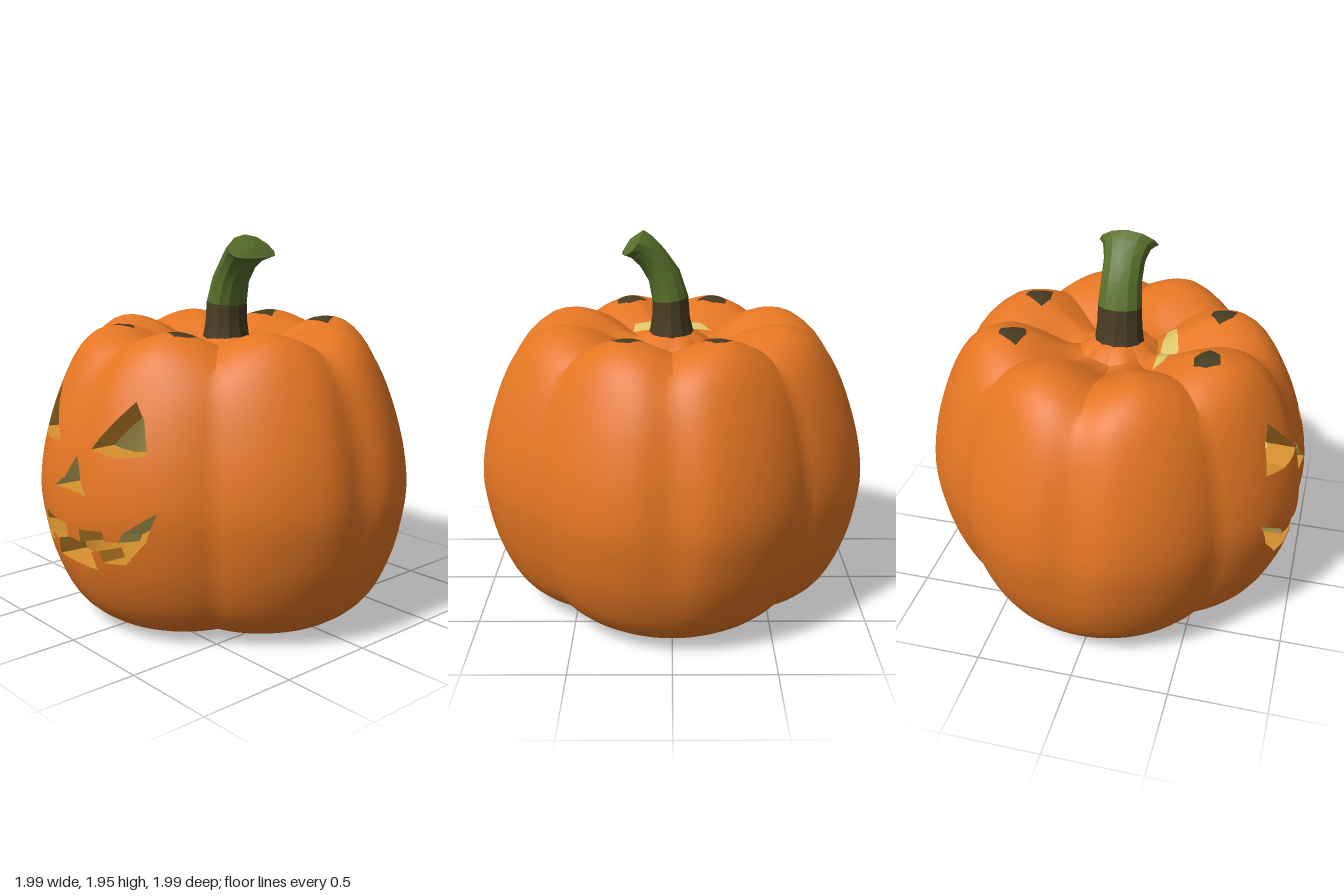
import * as THREE from 'three';
import { toCreasedNormals } from 'three/addons/utils/BufferGeometryUtils.js';

const { smoothstep, lerp } = THREE.MathUtils;
const mat = (name, color, side = THREE.FrontSide) => {
  const m = new THREE.MeshStandardMaterial({ color, side });
  m.name = name;
  return m;
};

// Body profile (radius, height), from the bottom dimple to the stem collar
const SEG = 128, ROWS = 52;
const profile = new THREE.CatmullRomCurve3([
  [0.002, 0.14], [0.12, 0.11], [0.3, 0.035], [0.48, 0.006], [0.66, 0.012], [0.82, 0.12], [0.93, 0.33],
  [0.985, 0.55], [1, 0.7], [0.98, 0.88], [0.93, 1.07], [0.86, 1.25], [0.77, 1.41], [0.68, 1.485],
  [0.56, 1.507], [0.42, 1.47], [0.3, 1.41], [0.2, 1.38], [0.14, 1.42], [0.1, 1.43],
].map(([r, y]) => new THREE.Vector3(r, y, 0))).getSpacedPoints(ROWS);

// Angle in degrees from the nearest shallow groove: 0 shallow, 45 deep
const grooveAngle = (a) => {
  const d = (((a * 180) / Math.PI) % 90 + 90) % 90;
  return Math.min(d, 90 - d);
};
const lobe = (a, y) => {
  const u = grooveAngle(a);
  return 1.018 - 0.045 * smoothstep(y, 0.1, 0.9) * Math.exp(-((u / 7) ** 2)) - 0.095 * (u / 45) ** 2;
};

function bodyPoint(row, a) {
  const { x: r, y } = profile[row];
  const u = grooveAngle(a), fade = smoothstep(r, 0.1, 0.3);
  const groove = y > 0.75 ? 0.09 * (Math.abs(u - 22.5) / 22.5) ** 1.5 : 0.035 * (u / 45) ** 2;
  const dip = 1 - groove * fade * smoothstep(Math.abs(y - 0.75), 0.45, 0.75);
  const k = r * lerp(1, lobe(a, y), fade);
  return [k * Math.sin(a), 0.75 + (y - 0.75) * dip, k * Math.cos(a)];
}

// Depth of the front skin at a given x and y
function frontZ(x, y) {
  const i = profile.findIndex((p, n) => n > 8 && p.y >= y);
  const a = profile[i - 1], b = profile[i];
  const r = a.x + ((b.x - a.x) * (y - a.y)) / (b.y - a.y);
  let z = r;
  for (let n = 0; n < 8; n++) z = Math.sqrt((r * lobe(Math.atan2(x, z), y)) ** 2 - x * x);
  return z;
}

// Grid geometry from a point function
function grid(i0, i1, seg, crease, point) {
  const pos = [], index = [], w = seg + 1;
  for (let i = i0; i <= i1; i++) for (let j = 0; j <= seg; j++) pos.push(...point(i, (j / seg) * Math.PI * 2));
  for (let i = 0; i < i1 - i0; i++) {
    for (let j = 0; j < seg; j++) {
      const a = i * w + j;
      index.push(a, a + 1, a + w + 1, a, a + w + 1, a + w);
    }
  }
  const g = new THREE.BufferGeometry();
  g.setAttribute('position', new THREE.Float32BufferAttribute(pos, 3));
  g.setIndex(index);
  return toCreasedNormals(g, crease);
}

// Split a polygon by a convex counter-clockwise outline, using vertex axes u and v
function split(poly, hole, u, v) {
  const outs = [];
  let inside = poly;
  for (let e = 0; e < hole.length && inside.length > 2; e++) {
    const p = hole[e], q = hole[(e + 1) % hole.length];
    const side = (t) => (q[0] - p[0]) * (t[v] - p[1]) - (q[1] - p[1]) * (t[u] - p[0]);
    const keep = [], out = [];
    inside.forEach((s, n) => {
      const t = inside[(n + 1) % inside.length], ds = side(s), dt = side(t);
      (ds >= 0 ? keep : out).push(s);
      if (ds >= 0 !== dt >= 0) {
        const m = s.map((c, k) => c + ((t[k] - c) * ds) / (ds - dt));
        keep.push(m);
        out.push(m);
      }
    });
    if (out.length > 2) outs.push(out);
    inside = keep;
  }
  return inside.length > 2 ? { outs, inside } : { outs: [poly], inside: null };
}

// Geometry from polygons whose vertices hold position and normal
function fromPolys(polys) {
  const pos = [], nor = [];
  for (const p of polys) {
    for (let n = 1; n < p.length - 1; n++) {
      for (const t of [p[0], p[n], p[n + 1]]) {
        pos.push(t[0], t[1], t[2]);
        nor.push(t[3], t[4], t[5]);
      }
    }
  }
  const g = new THREE.BufferGeometry();
  g.setAttribute('position', new THREE.Float32BufferAttribute(pos, 3));
  g.setAttribute('normal', new THREE.Float32BufferAttribute(nor, 3));
  return g;
}

const ccw = (h) => (THREE.ShapeUtils.area(h.map(([x, y]) => ({ x, y }))) < 0 ? [...h].reverse() : h);
const mirror = (h) => ccw(h.map(([x, y]) => [x === 0 ? 0 : -x, y]));
const both = (list) => list.flatMap((h) => [ccw(h), mirror(h)]);

// Carved face, as convex pieces
const features = [
  { name: 'eyeWalls', base: 0.97, pieces: both([[[0.13, 0.985], [0.29, 0.967], [0.42, 0.99], [0.37, 1.14], [0.31, 1.22]]]) },
  { name: 'noseWalls', base: 0.76, pieces: both([[[0, 0.76], [0.13, 0.765], [0.08, 0.81], [0, 0.84]], [[0, 0.84], [0.08, 0.81], [0.04, 0.87], [0, 0.95]]]) },
  { name: 'mouthWalls', base: 0.39, pieces: both([
    [[0.49, 0.735], [0.34, 0.62], [0.32, 0.575], [0.33, 0.46], [0.44, 0.59]],
    [[0.32, 0.575], [0.245, 0.565], [0.21, 0.45], [0.33, 0.46]],
    [[0.235, 0.615], [0.2, 0.51], [0.21, 0.45], [0.245, 0.565]],
    [[0.235, 0.615], [0.055, 0.585], [0.055, 0.52], [0.14, 0.49], [0.2, 0.51]],
    [[0.055, 0.52], [0, 0.52], [0, 0.395], [0.16, 0.4], [0.14, 0.49]],
  ]) },
];

// Walls along the outline of a carved feature, split into upward and downward faces
function walls({ pieces, base }) {
  const edges = new Map();
  for (const h of pieces) h.forEach((p, n) => edges.set(`${p}|${h[(n + 1) % h.length]}`, [p, h[(n + 1) % h.length]]));
  const up = [], down = [];
  for (const [p, q] of edges.values()) {
    if (edges.has(`${q}|${p}`)) continue;
    const len = Math.hypot(q[0] - p[0], q[1] - p[1]);
    for (let n = 0; n < 4; n++) {
      const [o0, o1] = [n / 4, (n + 1) / 4].map((t) => {
        const x = p[0] + (q[0] - p[0]) * t, y = p[1] + (q[1] - p[1]) * t;
        return [x, y, frontZ(x, y)];
      });
      const [i0, i1] = [o0, o1].map(([x, y, z]) => [x * 0.91, base + (y - base) * 0.83, z - 0.14]);
      ((q[0] - p[0]) / len < -0.3 ? down : up).push(...o0, ...o1, ...i1, ...o0, ...i1, ...i0);
    }
  }
  return [up, down].map((pos) => {
    const g = new THREE.BufferGeometry();
    g.setAttribute('position', new THREE.Float32BufferAttribute(pos, 3));
    g.computeVertexNormals();
    return g;
  });
}

// Stem rings: centre x, y, tilt, half-width in the bend, half-width in z
const rings = [
  [0, 1.38, 0, 0.125, 0.135], [0.005, 1.5, 0, 0.098, 0.118], [0.008, 1.6, 0.12, 0.093, 0.114], [0.04, 1.72, 0.35, 0.084, 0.104],
  [0.1, 1.81, 0.6, 0.077, 0.106], [0.155, 1.865, 0.75, 0.078, 0.125], [0.2, 1.893, 0.8, 0.08, 0.155], [0.212, 1.905, 0.8, 0.001, 0.001],
];
function stemPoint(i, a) {
  const [x, y, tilt, w, d] = rings[i];
  const s = Math.sin(a) * w, droop = Math.max(0, d - 0.118) * 0.8 * Math.cos(a) ** 2;
  return [x + s * Math.cos(tilt), y - s * Math.sin(tilt) - droop, Math.cos(a) * d];
}

export function createModel() {
  const group = new THREE.Group();
  const orange = mat('orange skin', 0xe57623);
  const cream = mat('cream flesh', 0xdcc468, THREE.DoubleSide);
  const gold = mat('golden flesh', 0xd8922e, THREE.DoubleSide);
  const dark = mat('dark brown', 0x483c22);
  const green = mat('stem green', 0x58702a);
  const innerCream = mat('inner cream', 0xdcc468, THREE.BackSide);
  const innerGold = mat('inner gold', 0xd8922e, THREE.BackSide);
  const add = (name, geo, m) => {
    const mesh = new THREE.Mesh(geo, m);
    mesh.name = name;
    group.add(mesh);
  };

  // Ribbed skin, cut by the face and by the marks on top
  const body = grid(0, ROWS, SEG, 0.6, bodyPoint);
  const P = body.attributes.position.array, N = body.attributes.normal.array;
  let polys = [];
  for (let t = 0; t < P.length; t += 9) polys.push([0, 3, 6].map((k) => [...P.slice(t + k, t + k + 3), ...N.slice(t + k, t + k + 3)]));
  const carve = (hole, u, v, test, bin) => {
    polys = polys.flatMap((p) => {
      if (!test(p[0])) return [p];
      const { outs, inside } = split(p, hole, u, v);
      if (inside) bin.push(inside);
      return outs;
    });
  };
  for (const f of features) for (const h of f.pieces) carve(h, 0, 1, (t) => t[2] > 0.3, []);
  const spots = [], patch = [];
  const onTop = (t) => t[1] > 1.2;
  const marks = [
    [[0.2, -0.57], [0.13, -0.46], [0.2, -0.43], [0.31, -0.45], [0.25, -0.56]],
    [[0.23, 0.43], [0.14, 0.49], [0.2, 0.55], [0.28, 0.565], [0.31, 0.5], [0.3, 0.44]],
  ];
  for (const h of both(marks)) carve(h, 0, 2, onTop, spots);
  carve(ccw([[-0.21, 0.22], [0.21, 0.21], [0.2, 0.26], [0.02, 0.305], [-0.16, 0.265]]), 0, 2, onTop, patch);
  add('skin', fromPolys(polys), orange);
  add('topSpots', fromPolys(spots), dark);
  add('topPatch', fromPolys(patch), cream);

  // Hollow inside
  const lathe = (pts) => new THREE.LatheGeometry(pts.map(([r, y]) => new THREE.Vector2(r, y)), 48);
  add('innerFloor', lathe([[0, 0.2], [0.6, 0.12], [0.8, 0.3]]), innerGold);
  add('innerWall', lathe([[0.8, 0.3], [0.85, 0.45], [0.86, 0.65], [0.83, 1], [0.76, 1.25], [0.6, 1.36], [0, 1.25]]), innerCream);

  // Cut edges of the face
  for (const f of features) {
    const [up, down] = walls(f);
    add(f.name, up, gold);
    add(`${f.name}Upper`, down, f.name === 'eyeWalls' ? gold : cream);
  }

  // Bent stem with a dark foot
  add('stemFoot', grid(0, 2, 12, 0.4, stemPoint), dark);
  add('stem', grid(2, rings.length - 1, 12, 0.4, stemPoint), green);
  return group;
}
